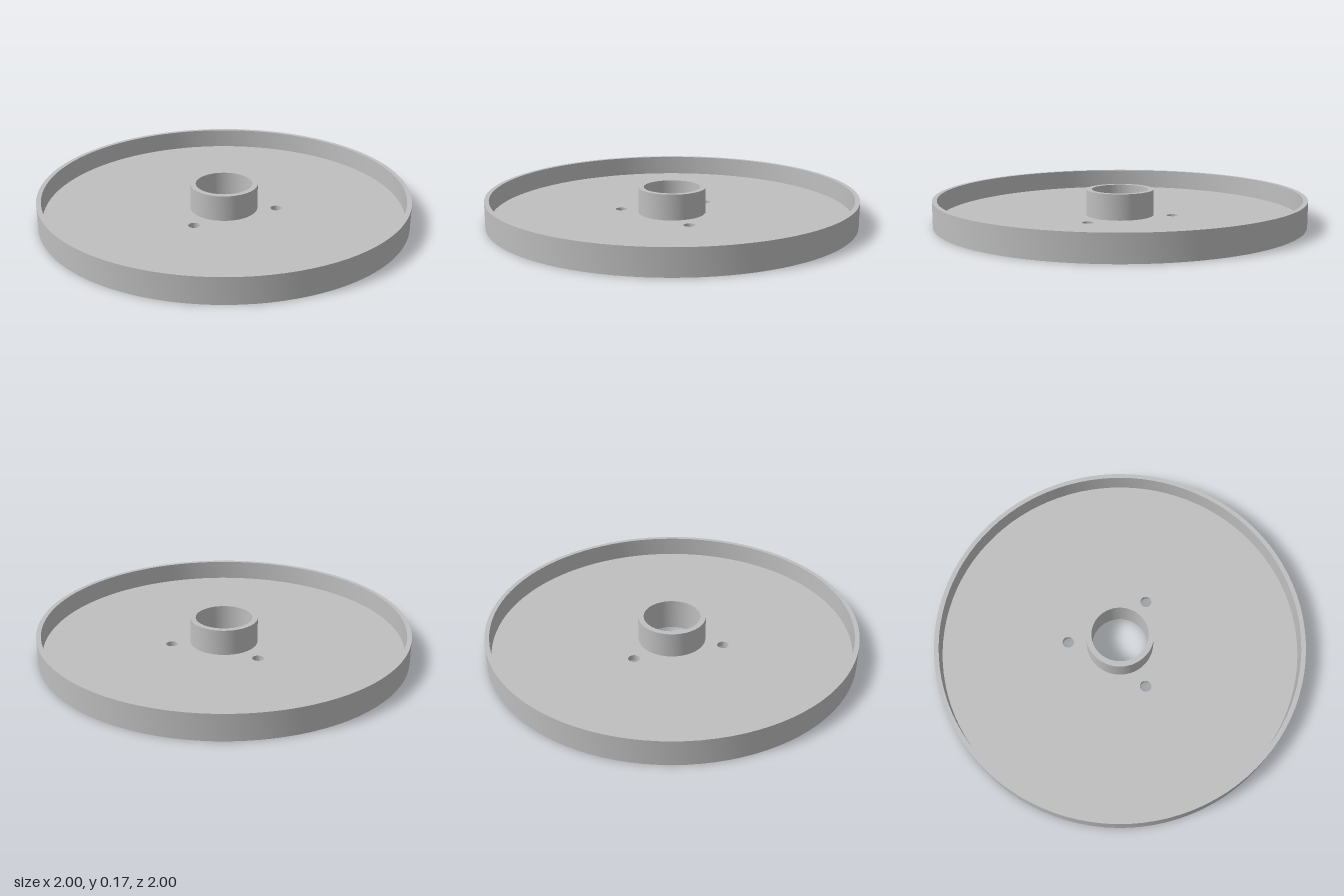
import * as THREE from 'three';
import { toCreasedNormals } from 'three/addons/utils/BufferGeometryUtils.js';

const SEGMENTS = 96;
const RIM = { outer: 1, inner: 0.975, top: 0.139 };
const HUB = { outer: 0.183, inner: 0.153, top: 0.17 };
const FLOOR_TOP = 0.03;
const HOLE_RADIUS = 0.031;

// Three bolt holes, the first one at the back
const holes = [0, 1, 2].map((i) => {
  const a = (i * 2 * Math.PI) / 3;
  return { x: 0.285 * Math.sin(a), z: -0.285 * Math.cos(a) };
});

// Turned surface with sharp edges, profile given as [radius, height]
function turned(profile) {
  const points = profile.map(([r, y]) => new THREE.Vector2(r, y));
  return toCreasedNormals(new THREE.LatheGeometry(points, SEGMENTS), 0.6);
}

// Flat perforated disc, facing up (1) or down (-1)
function disc(outer, inner, y, facing) {
  const shape = new THREE.Shape().absarc(0, 0, outer, 0, Math.PI * 2);
  const cut = (x, v, r) => shape.holes.push(new THREE.Path().absarc(x, v, r, 0, Math.PI * 2, true));
  cut(0, 0, inner);
  holes.forEach((h) => cut(h.x, -facing * h.z, HOLE_RADIUS));
  return new THREE.ShapeGeometry(shape, SEGMENTS / 2).rotateX((-facing * Math.PI) / 2).translate(0, y, 0);
}

export function createModel() {
  const model = new THREE.Group();
  model.name = 'flangedDisc';
  const metal = new THREE.MeshStandardMaterial({ color: 0xbfbfbf });
  metal.name = 'plain grey';

  const add = (name, geometry) => {
    const mesh = new THREE.Mesh(geometry, metal);
    mesh.name = name;
    model.add(mesh);
  };

  // Raised outer wall
  add('rim', turned([[RIM.outer, 0], [RIM.outer, RIM.top], [RIM.inner, RIM.top], [RIM.inner, FLOOR_TOP]]));

  // Central collar with its through bore
  add('hub', turned([[HUB.outer, FLOOR_TOP], [HUB.outer, HUB.top], [HUB.inner, HUB.top], [HUB.inner, 0]]));

  // Two faces of the floor plate
  add('floorTop', disc(RIM.inner, HUB.outer, FLOOR_TOP, 1));
  add('floorUnderside', disc(RIM.outer, HUB.inner, 0, -1));

  // Inward-facing walls of the bolt holes
  holes.forEach((h) => {
    add('boltHole', turned([[HOLE_RADIUS, FLOOR_TOP], [HOLE_RADIUS, 0]]).translate(h.x, 0, h.z));
  });

  return model;
}
